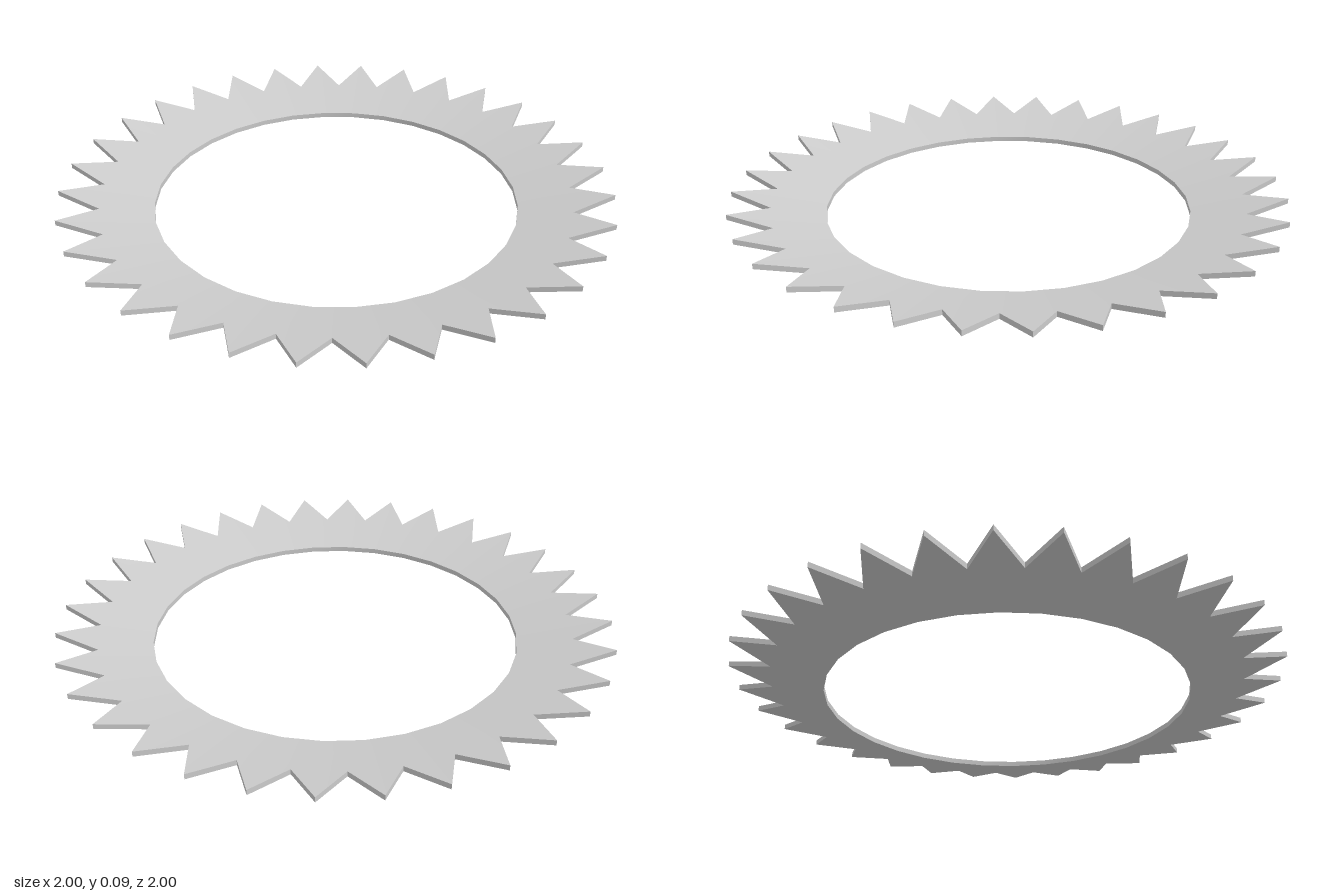
import * as THREE from 'three';
import { toCreasedNormals } from 'three/addons/utils/BufferGeometryUtils.js';

const TEETH = 32;
const INNER = 0.663, VALLEY = 0.853, TIP = 1;
const RISE = 0.069, THICKNESS = 0.019;

// Point on the shallow cone; lift raises it from the underside to the top
function conePoint(radius, step, lift) {
  const a = (step / TEETH) * Math.PI * 2;
  const y = (RISE * (radius - INNER)) / (TIP - INNER) + lift;
  return [radius * Math.sin(a), y, radius * Math.cos(a)];
}

export function createModel() {
  const positions = [];
  const tri = (a, b, c) => positions.push(...a, ...b, ...c);

  // Upright wall between two rim points, facing right of the path p to q
  const wall = (p, q) => {
    const [pb, pt] = [conePoint(...p, 0), conePoint(...p, THICKNESS)];
    const [qb, qt] = [conePoint(...q, 0), conePoint(...q, THICKNESS)];
    tri(pb, qb, qt);
    tri(pb, qt, pt);
  };

  for (let i = 0; i < TEETH; i++) {
    const in0 = [INNER, i], in1 = [INNER, i + 1];
    const tip0 = [TIP, i], tip1 = [TIP, i + 1];
    const valley = [VALLEY, i + 0.5];

    // Top and underside of one sector
    for (const [a, b, c] of [[in0, tip0, valley], [in0, valley, in1], [in1, valley, tip1]]) {
      tri(conePoint(...a, THICKNESS), conePoint(...b, THICKNESS), conePoint(...c, THICKNESS));
      tri(conePoint(...a, 0), conePoint(...c, 0), conePoint(...b, 0));
    }

    // Tooth edges and the inner rim
    wall(tip0, valley);
    wall(valley, tip1);
    wall(in1, in0);
  }

  const geometry = new THREE.BufferGeometry();
  geometry.setAttribute('position', new THREE.Float32BufferAttribute(positions, 3));

  const ring = new THREE.Mesh(
    toCreasedNormals(geometry, Math.PI / 6),
    new THREE.MeshStandardMaterial({ color: 0xcccccc })
  );
  ring.name = 'toothedRing';

  const model = new THREE.Group();
  model.name = 'serratedRing';
  model.add(ring);
  return model;
}
